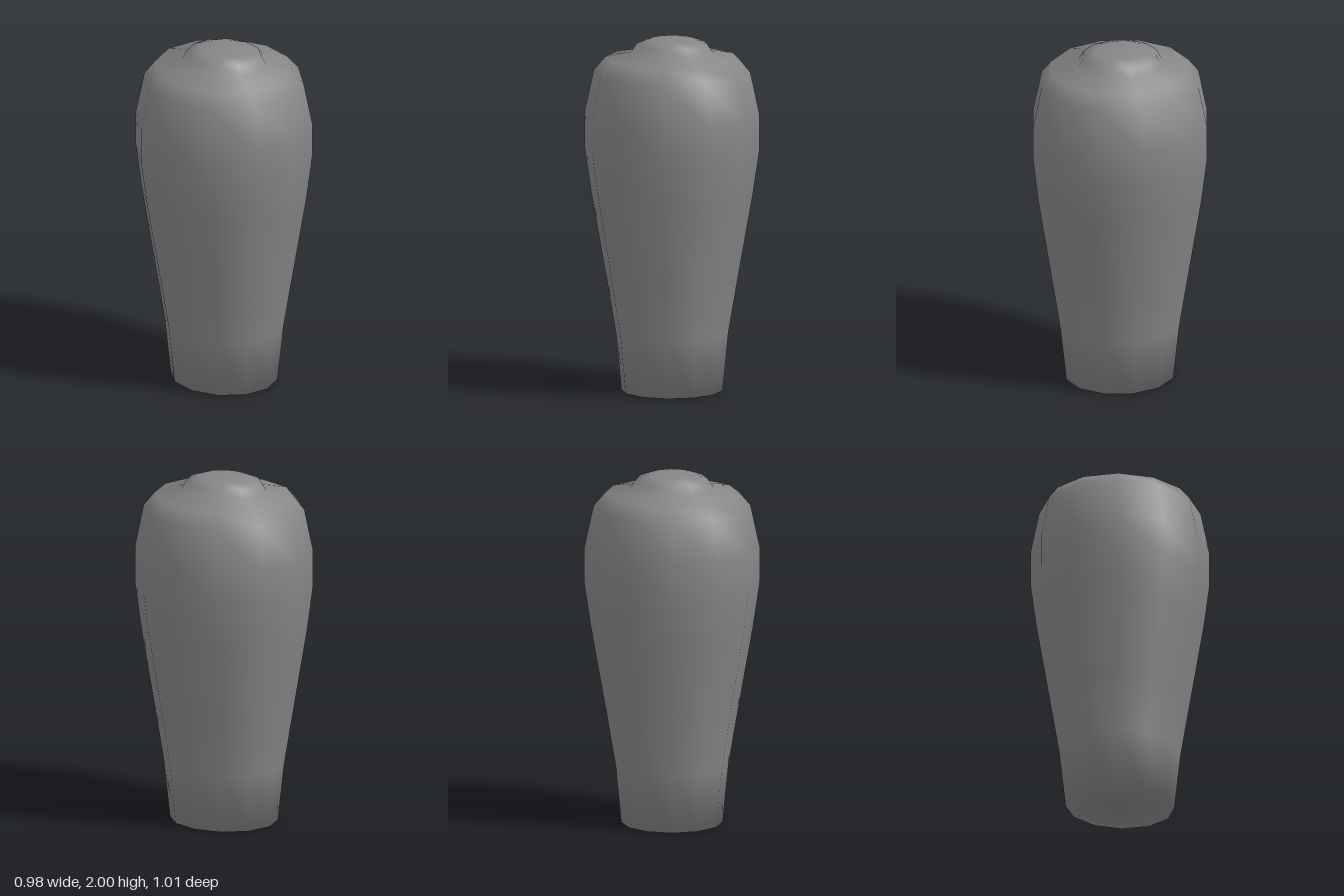
import * as THREE from 'three';
import { mergeVertices } from 'three/addons/utils/BufferGeometryUtils.js';

// Rings from the base up: height, half width in x, half depth in z
const RINGS = [
  [0, 0, 0],
  [0, 0.285, 0.312],
  [0.33, 0.317, 0.348],
  [0.64, 0.37, 0.398],
  [1.12, 0.455, 0.475],
  [1.37, 0.492, 0.505],
  [1.57, 0.492, 0.505],
  [1.81, 0.44, 0.457],
  [1.885, 0.376, 0.398],
  [1.915, 0.232, 0.24],
  [1.965, 0.198, 0.215],
  [1.99, 0.13, 0.142],
  [2, 0, 0],
];
const SIDES = 12;

// Smooth normals, each face weighted by its corner angle so that
// narrow bands count as much as tall ones
function setSmoothNormals(geometry) {
  const pos = geometry.attributes.position;
  const index = geometry.index;
  const sums = Array.from({ length: pos.count }, () => new THREE.Vector3());
  const triangle = new THREE.Triangle();
  const normal = new THREE.Vector3();
  for (let i = 0; i < index.count; i += 3) {
    const ids = [0, 1, 2].map((k) => index.getX(i + k));
    triangle.setFromAttributeAndIndices(pos, ...ids);
    if (triangle.getArea() < 1e-7) continue;
    triangle.getNormal(normal);
    const corners = [triangle.a, triangle.b, triangle.c];
    ids.forEach((id, k) => {
      const toNext = corners[(k + 1) % 3].clone().sub(corners[k]);
      const toLast = corners[(k + 2) % 3].clone().sub(corners[k]);
      sums[id].addScaledVector(normal, toNext.angleTo(toLast));
    });
  }
  const values = sums.flatMap((sum) => sum.normalize().toArray());
  geometry.setAttribute('normal', new THREE.Float32BufferAttribute(values, 3));
}

export function createModel() {
  const group = new THREE.Group();
  group.name = 'taperedHandle';

  // Twelve-sided turned body with a slightly deeper oval section
  let geometry = new THREE.LatheGeometry(RINGS.map(([y, x]) => new THREE.Vector2(x, y)), SIDES);
  const pos = geometry.attributes.position;
  for (let i = 0; i < pos.count; i++) {
    const [, x, z] = RINGS[i % RINGS.length];
    if (x > 0) pos.setZ(i, (pos.getZ(i) * z) / x);
  }

  // Weld seam and poles so shading runs smoothly over the base and crown
  geometry.deleteAttribute('normal');
  geometry.deleteAttribute('uv');
  geometry = mergeVertices(geometry, 1e-4);
  setSmoothNormals(geometry);

  const body = new THREE.Mesh(geometry, new THREE.MeshStandardMaterial({ color: 0x868686 }));
  body.name = 'body';
  group.add(body);
  return group;
}
